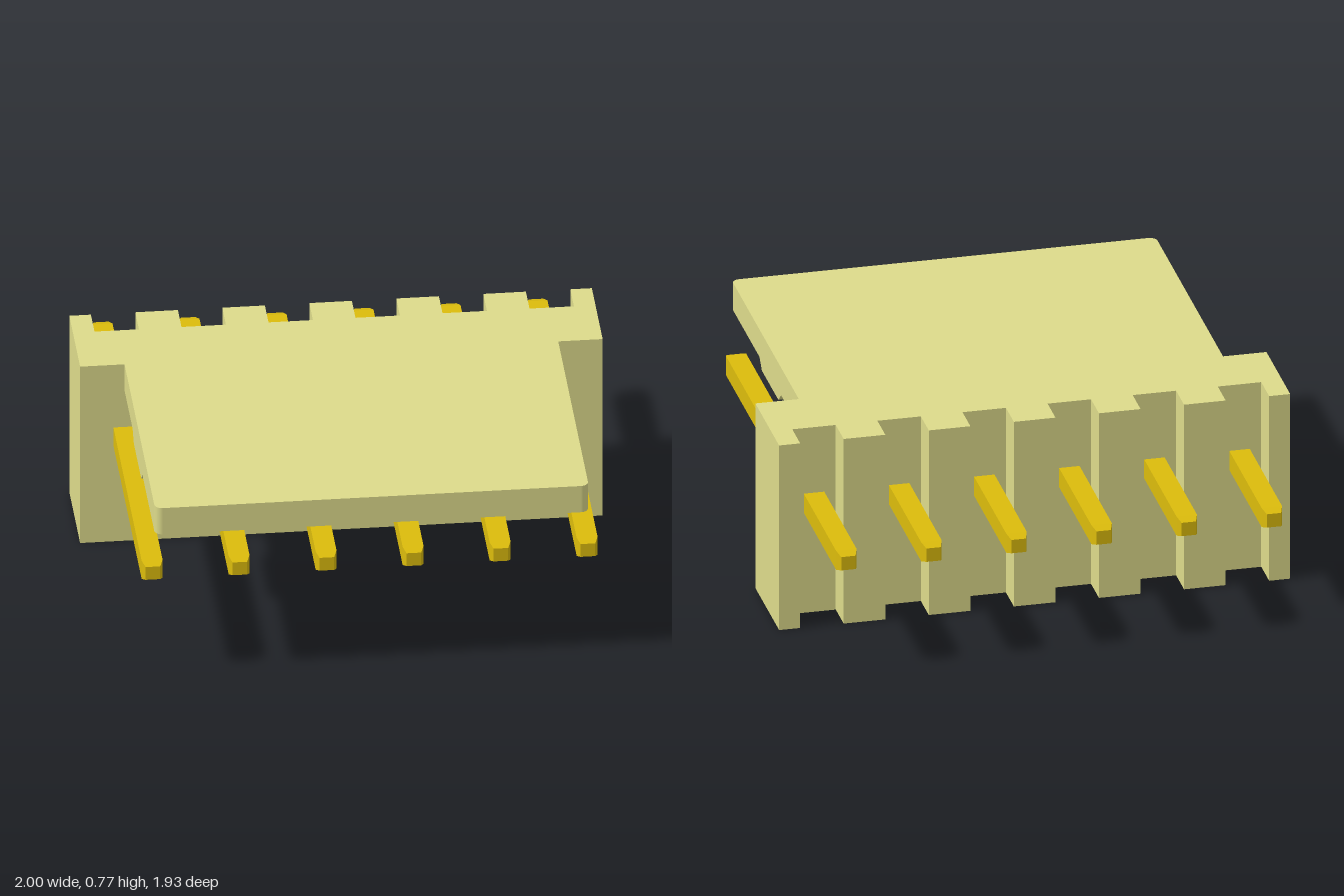
import * as THREE from 'three';

const PINS = 6, PITCH = 0.333;
const pinX = (i) => (i - (PINS - 1) / 2) * PITCH;

const plastic = new THREE.MeshStandardMaterial({ color: 0xdddb8b, flatShading: true });
const metal = new THREE.MeshStandardMaterial({ color: 0xdcbc0c, flatShading: true });

function add(group, name, geometry, material) {
  const mesh = new THREE.Mesh(geometry, material);
  mesh.name = name;
  group.add(mesh);
}

// Extrudes a plan outline (x, -z) upward from y0 to y1
function extrudeUp(shape, y0, y1) {
  return new THREE.ExtrudeGeometry(shape, { depth: y1 - y0, bevelEnabled: false, curveSegments: 6 })
    .rotateX(-Math.PI / 2).translate(0, y0, 0);
}

// Upright block with one open slot behind each pin
function housingGeometry() {
  const front = 0.14, back = 0.53, slotFloor = 0.4, half = 0.085;
  const s = new THREE.Shape();
  s.moveTo(-1, front);
  s.lineTo(1, front);
  s.lineTo(1, back);
  for (let i = PINS - 1; i >= 0; i--) {
    const x = pinX(i);
    s.lineTo(x + half, back);
    s.lineTo(x + half, slotFloor);
    s.lineTo(x - half, slotFloor);
    s.lineTo(x - half, back);
  }
  s.lineTo(-1, back);
  s.closePath();
  return extrudeUp(s, 0, 0.775);
}

// Flat locking plate with two rounded front corners
function plateGeometry() {
  const w = 0.83, f = -0.965, r = 0.03;
  const s = new THREE.Shape();
  s.moveTo(w, 0.14);
  s.lineTo(-w, 0.14);
  s.lineTo(-w, f + r);
  s.absarc(-w + r, f + r, r, Math.PI, Math.PI * 1.5, false);
  s.lineTo(w - r, f);
  s.absarc(w - r, f + r, r, Math.PI * 1.5, Math.PI * 2, false);
  s.closePath();
  return extrudeUp(s, 0.66, 0.775);
}

// Trapezoid latch rib under the plate, drawn in (z, y) and swept along x
function ribGeometry() {
  const s = new THREE.Shape([
    [0.15, 0.66], [0.195, 0.62], [0.465, 0.62], [0.505, 0.66],
  ].map(([z, y]) => new THREE.Vector2(z, y)));
  return new THREE.ExtrudeGeometry(s, { depth: 1.66, bevelEnabled: false })
    .rotateY(-Math.PI / 2).translate(0.83, 0, 0);
}

// Square pin with tapered tips
function pinGeometry() {
  const profile = [
    [0, -0.965], [0.028, -0.965], [0.04, -0.93], [0.04, 0.88], [0.028, 0.91], [0, 0.91],
  ].map(([half, z]) => new THREE.Vector2(half * Math.SQRT2, z));
  const g = new THREE.LatheGeometry(profile, 4, Math.PI / 4).rotateX(Math.PI / 2).toNonIndexed();
  g.computeVertexNormals();
  return g;
}

export function createModel() {
  const model = new THREE.Group();
  model.name = 'pinHeader';
  add(model, 'housing', housingGeometry(), plastic);
  add(model, 'lockingPlate', plateGeometry(), plastic);
  add(model, 'latchRib', ribGeometry(), plastic);
  for (let i = 0; i < PINS; i++) {
    add(model, `pin${i + 1}`, pinGeometry().translate(pinX(i), 0.46, 0), metal);
  }
  return model;
}
